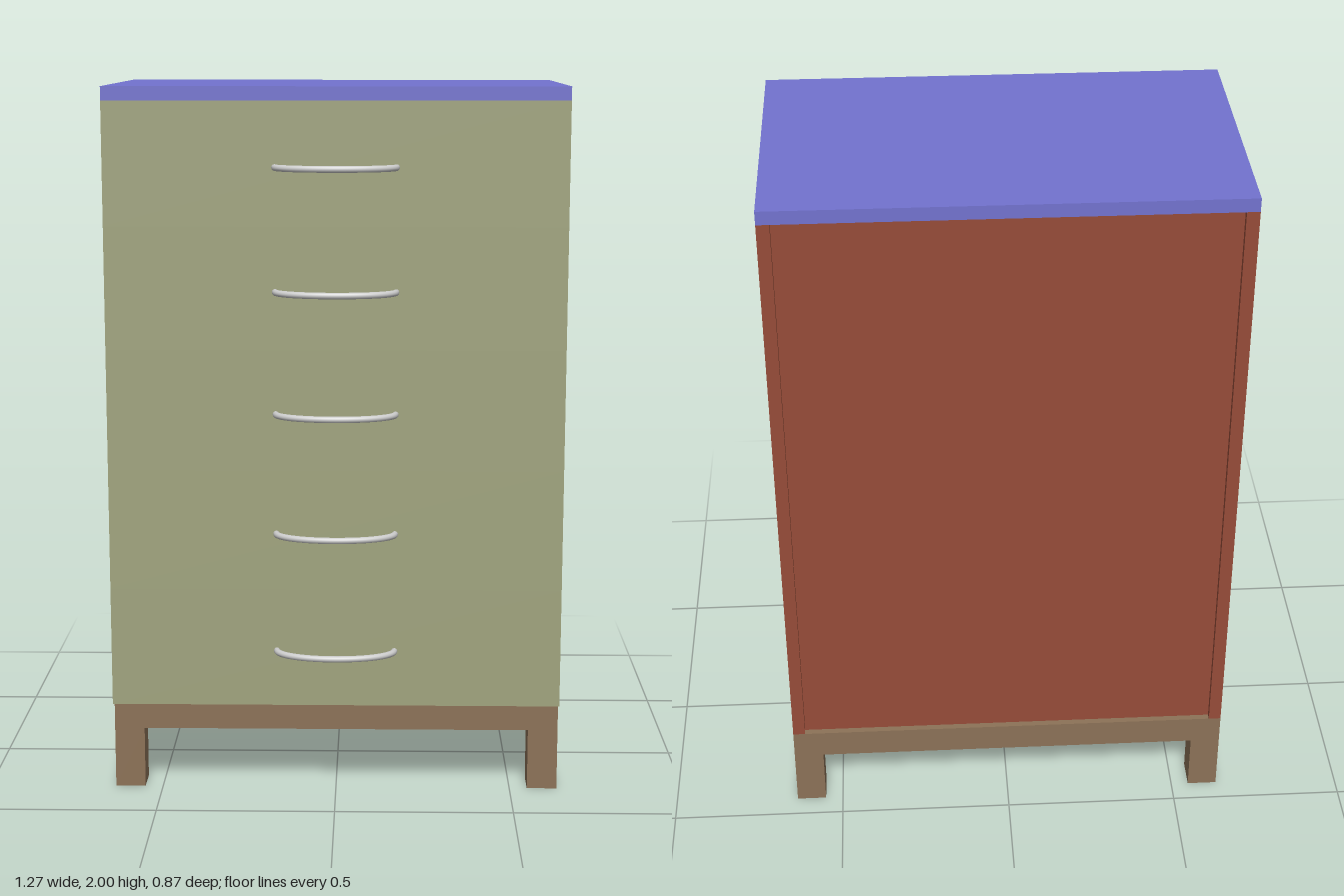
import * as THREE from 'three';

export function createModel() {
  const root = new THREE.Group();
  root.name = 'chestOfDrawers';
  const mat = (color) => new THREE.MeshStandardMaterial({ color });
  const blue = mat(0x7272cf), green = mat(0xa0a47e), red = mat(0x964c39), brown = mat(0x8c7257), grey = mat(0xcccccc);

  // Box given by its min and max along each axis
  const box = (name, material, [x0, x1], [y0, y1], [z0, z1]) => {
    const mesh = new THREE.Mesh(new THREE.BoxGeometry(x1 - x0, y1 - y0, z1 - z0), material);
    mesh.position.set((x0 + x1) / 2, (y0 + y1) / 2, (z0 + z1) / 2);
    mesh.name = name;
    root.add(mesh);
    return mesh;
  };

  const W = 0.636, BACK = -0.437, BODY = 0.306, FRONT = 0.346;
  const RAIL = 0.175, BASE = 0.26, TOP = 1.962, LEG = 0.085, SIDE = 0.035;

  // Plinth and four square legs
  box('base', brown, [-W, W], [RAIL, BASE], [BACK, BODY]);
  for (const x of [-W, W - LEG]) {
    for (const z of [BACK, BODY - LEG]) box('leg', brown, [x, x + LEG], [0, RAIL], [z, z + LEG]);
  }

  // Carcass: side panels with the back panel set in between
  box('rightSide', red, [-W, -W + SIDE], [BASE, TOP], [BACK, BODY]);
  box('leftSide', red, [W - SIDE, W], [BASE, TOP], [BACK, BODY]);
  box('backPanel', red, [-W + SIDE, W - SIDE], [BASE, TOP], [BACK + 0.018, BACK + 0.035]);

  // Top board
  box('top', blue, [-W, W], [TOP, 2], [BACK, FRONT]);

  // Drawer fronts with bowed handles
  const arc = [];
  for (let i = 0; i <= 24; i++) {
    const a = (i / 24) * Math.PI;
    arc.push(new THREE.Vector3(0.166 * Math.cos(a), 0, 0.083 * Math.sin(a)));
  }
  const handleGeometry = new THREE.TubeGeometry(new THREE.CatmullRomCurve3(arc), 48, 0.009, 12);
  const count = 5, h = (TOP - BASE) / count;
  for (let i = 0; i < count; i++) {
    const y = BASE + i * h;
    box('drawerFront', green, [-W, W], [y, y + h], [BODY, FRONT]);
    const handle = new THREE.Mesh(handleGeometry, grey);
    handle.name = 'handle';
    handle.position.set(0, 0.421 + i * h, FRONT - 0.001);
    root.add(handle);
  }
  return root;
}
